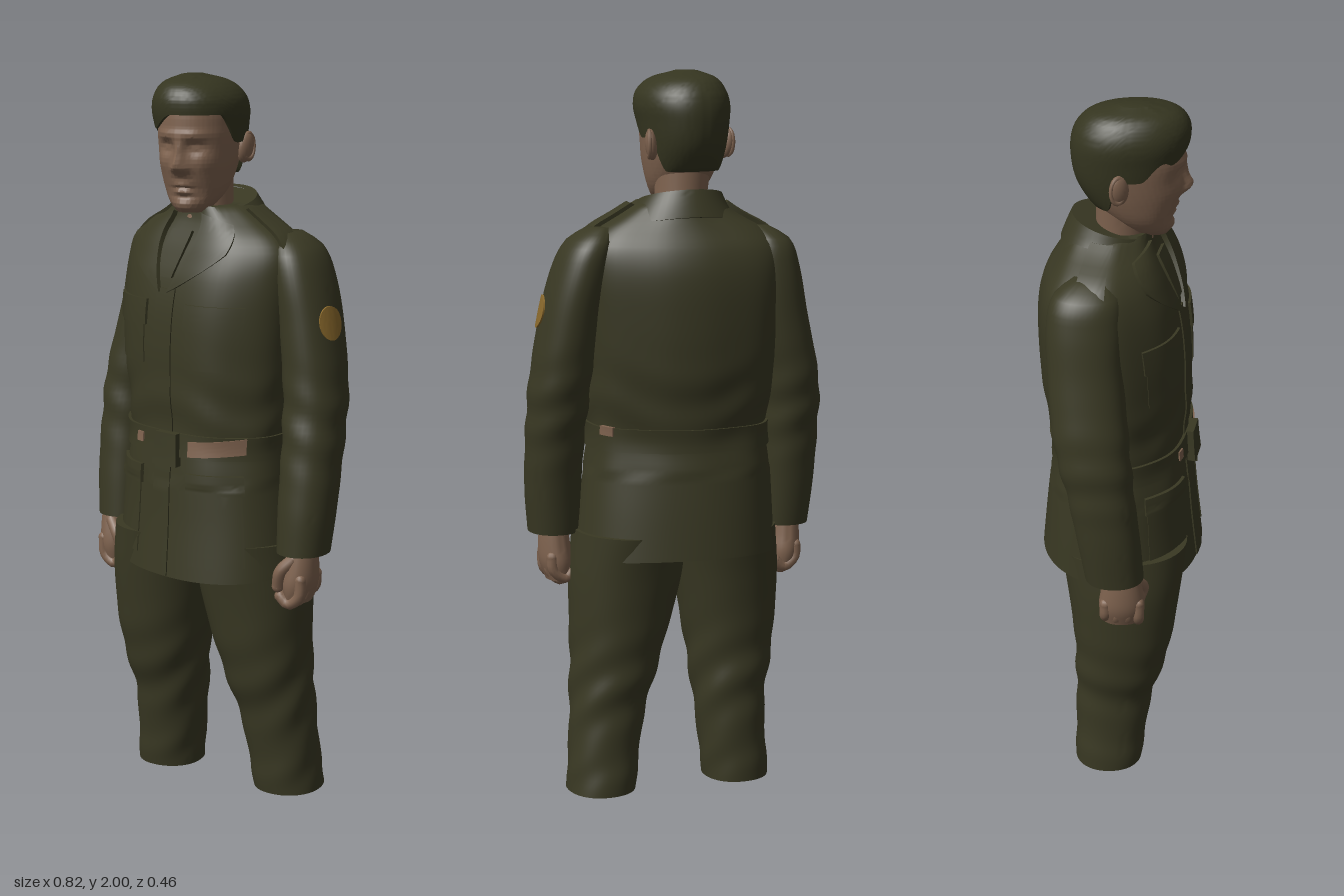
import * as THREE from 'three';
import { mergeVertices, toCreasedNormals } from 'three/addons/utils/BufferGeometryUtils.js';

const TAU = Math.PI * 2, rad = d => d * Math.PI / 180;
const mat = (name, color) => { const m = new THREE.MeshStandardMaterial({ color }); m.name = name; return m; };
const step = (a, b, x) => THREE.MathUtils.smoothstep(x, a, b);
const gauss = (d, s) => Math.exp(-(d * d) / (s * s));

// Smooth curve through section rows [y, cx, cz, rx, rz]
function sample(secs, y) {
  const last = secs.length - 1;
  let i = 0;
  while (i < last - 1 && y > secs[i + 1][0]) i++;
  const a = secs[i], b = secs[i + 1], h = b[0] - a[0];
  const t = THREE.MathUtils.clamp((y - a[0]) / h, 0, 1);
  const slope = (k, c) => {
    const p = secs[Math.max(k - 1, 0)], q = secs[Math.min(k + 1, last)];
    return (q[c] - p[c]) / (q[0] - p[0]);
  };
  return [1, 2, 3, 4].map(c => {
    const t2 = t * t, t3 = t2 * t;
    return (2 * t3 - 3 * t2 + 1) * a[c] + (t3 - 2 * t2 + t) * h * slope(i, c)
      + (3 * t2 - 2 * t3) * b[c] + (t3 - t2) * h * slope(i + 1, c);
  });
}

// Surface of rounded cross-sections: (angle, height, offset) -> point
function body(secs, { yaw = 0, n = 2, mod = null, fold = null } = {}) {
  const pw = (v, e) => Math.sign(v) * Math.abs(v) ** e;
  return (th, y, off = 0) => {
    const [cx, cz, rx, rz] = sample(secs, y);
    const o = off + (fold ? fold(th, y) : 0);
    const x = (rx + o) * pw(Math.cos(th), 2 / n), z = (rz + o) * pw(Math.sin(th), 2 / n);
    const p = new THREE.Vector3(cx + x * Math.cos(yaw) - z * Math.sin(yaw), y, cz + x * Math.sin(yaw) + z * Math.cos(yaw));
    if (mod) mod(p, off);
    return p;
  };
}

function grid(fn, nu, nv, crease = 0.9) {
  const pos = [], idx = [];
  for (let j = 0; j <= nv; j++) for (let i = 0; i <= nu; i++) pos.push(...fn(i / nu, j / nv, i, j).toArray());
  for (let j = 0; j < nv; j++) for (let i = 0; i < nu; i++) {
    const a = j * (nu + 1) + i, b = a + nu + 1;
    idx.push(a, b, a + 1, a + 1, b, b + 1);
  }
  const g = new THREE.BufferGeometry();
  g.setAttribute('position', new THREE.Float32BufferAttribute(pos, 3));
  g.setIndex(idx);
  return toCreasedNormals(mergeVertices(g, 1e-5), crease);
}

// Closed loft with capped ends
function loft(surf, y0, y1, nu = 48, nv = 40) {
  return grid((u, v, i, j) => {
    const y = y0 + (y1 - y0) * THREE.MathUtils.clamp((j - 1) / (nv - 2), 0, 1);
    if (j === 0 || j === nv) return surf(0, y).lerp(surf(Math.PI, y), 0.5);
    return surf(u * TAU, y);
  }, nu, nv);
}

// Raised plate on a surface; map(u, v) gives [angle, height]
function plate(surf, map, thick, nu = 14, nv = 10, ring = false) {
  return grid((u, v, i, j) => {
    const edge = j === 0 || j === nv || (!ring && (i === 0 || i === nu));
    const inner = (k, m) => THREE.MathUtils.clamp((k - 1) / (m - 2), 0, 1);
    const [th, y] = map(ring ? u : inner(i, nu), inner(j, nv));
    return surf(th, y, edge ? -0.006 : thick);
  }, nu, nv);
}
// Corners in degrees and height: lower a, lower b, upper b, upper a (a < b)
const quad = (a, b, c, d) => (u, v) => [0, 1].map(k => {
  const val = (a[k] * (1 - u) + b[k] * u) * (1 - v) + (d[k] * (1 - u) + c[k] * u) * v;
  return k ? val : rad(val);
});
const rect = (t0, t1, y0, y1) => quad([t0, y0], [t1, y0], [t1, y1], [t0, y1]);
const disc = (t, y, rt, ry) => (u, v) => {
  const a = u * 2 - 1, b = v * 2 - 1;
  return [rad(t + rt * a * Math.sqrt(1 - b * b / 2)), y + ry * b * Math.sqrt(1 - a * a / 2)];
};

export function createModel() {
  const model = new THREE.Group();
  model.name = 'standingFigure';
  const olive = mat('olive cloth', 0x393823), skin = mat('skin', 0x7f634f);
  const hairMat = mat('dark hair', 0x353520), gold = mat('gold badge', 0x8a692c);
  const add = (name, geo, m, parent = model) => {
    const mesh = new THREE.Mesh(geo, m); mesh.name = name; parent.add(mesh); return mesh;
  };

  // Jacket
  const torso = body([
    [0.66, -0.01, 0.003, 0.285, 0.22], [0.8, -0.015, 0, 0.272, 0.205], [0.92, -0.02, 0, 0.26, 0.193],
    [1.0, -0.02, 0, 0.25, 0.183], [1.08, -0.02, -0.005, 0.256, 0.188], [1.2, -0.024, -0.014, 0.27, 0.198],
    [1.35, -0.024, -0.022, 0.283, 0.198], [1.46, -0.02, -0.03, 0.288, 0.186], [1.53, -0.015, -0.034, 0.278, 0.163],
    [1.575, -0.012, -0.032, 0.24, 0.138], [1.615, -0.01, -0.03, 0.17, 0.118], [1.65, -0.015, -0.025, 0.115, 0.105]
  ], {
    yaw: 0.22, n: 2.25,
    fold: (th, y) => 0.003 * Math.sin(y * 42 + 2 * Math.sin(th * 3)) * gauss(y - 1.1, 0.1)
      + 0.003 * Math.sin(th * 7) * step(0.9, 0.7, y),
    mod: (p, off) => {
      p.y -= 0.1 * p.z * Math.max(0, (0.95 - p.y) / 0.3);
      p.y += Math.max(0, off) * 0.8 * step(1.48, 1.58, p.y);
    }
  });
  add('jacket', loft(torso, 0.66, 1.65, 72, 64), olive);
  add('frontOpening', plate(torso, rect(86, 96, 0.663, 1.43), 0.004, 8, 60), olive);
  const mirror = (s, a, b) => s > 0 ? [a, b] : [180 - b, 180 - a];
  for (const s of [1, -1]) {
    const box = (name, a, b, y0, y1, t) => add(name, plate(torso, rect(...mirror(s, a, b), y0, y1), t), olive);
    box('chestPocket', 40, 76, 1.22, 1.37, 0.003);
    box('chestPocketFlap', 38, 78, 1.325, 1.395, 0.007);
    box('hipPocket', 34, 72, 0.7, 0.9, 0.003);
    box('hipPocketFlap', 32, 74, 0.885, 0.935, 0.009);
    box('shoulderStrap', -13, 13, 1.54, 1.64, 0.009);
    // Lapel corners are mirrored about the front opening
    const c = [[90, 1.42], [58, 1.53], [48, 1.6], [76, 1.625]];
    const l = s > 0 ? [c[1], c[0], c[3], c[2]] : c.map(([t, y]) => [184 - t, y]);
    add('lapel', plate(torso, quad(...l), 0.011, 14, 14), olive);
  }
  // Collar, higher at the back than at the throat
  const collar = body([[1.56, -0.012, -0.028, 0.165, 0.128], [1.62, -0.015, -0.026, 0.125, 0.11], [1.67, -0.022, -0.024, 0.096, 0.093]], {
    yaw: 0.22, mod: p => { p.y -= 0.25 * (p.z + 0.025); }
  });
  add('collarStand', loft(collar, 1.58, 1.655, 48, 14), olive);
  add('collar', plate(collar, (u, v) => [rad(112 + 316 * u), 1.58 + 0.08 * v], 0.013, 48, 10), olive);
  add('tie', plate(torso, quad([89, 1.46], [95, 1.46], [99, 1.58], [85, 1.58]), 0.008), olive);
  add('throat', plate(collar, disc(86, 1.634, 15, 0.018), 0.006), skin);

  // Belt with buckle and worn sections
  add('belt', plate(torso, (u, v) => [u * TAU, 0.975 + 0.065 * v], 0.008, 72, 6, true), olive);
  add('buckle', plate(torso, quad([79, 0.95], [94, 0.95], [93, 1.04], [80, 1.04]), 0.026), olive);
  for (const c of [
    [[30, 0.994], [73, 0.98], [73, 1.022], [30, 1.038]], [[106, 0.997], [112, 0.997], [112, 1.024], [106, 1.024]],
    [[-44, 1.018], [-32, 1.02], [-32, 1.045], [-44, 1.043]]])
    add('beltBarePatch', plate(torso, quad(...c), 0.012), skin);

  // Trousers
  const creases = (th, y) => 0.004 * Math.sin(y * 44 + 3 * Math.sin(th) + 2 * th) * (gauss(y - 0.3, 0.13) + 0.5 * gauss(y - 0.06, 0.06));
  const leftLeg = body([[0, 0.22, -0.03, 0.096, 0.104], [0.2, 0.196, -0.01, 0.104, 0.108], [0.4, 0.16, 0.008, 0.13, 0.136],
    [0.6, 0.132, 0.012, 0.157, 0.158], [0.74, 0.12, 0.01, 0.155, 0.18]], { n: 2.15, fold: creases });
  const rightLeg = body([[0, -0.182, -0.042, 0.093, 0.096], [0.22, -0.17, -0.025, 0.1, 0.11], [0.4, -0.175, -0.002, 0.125, 0.135],
    [0.6, -0.166, 0.003, 0.146, 0.16], [0.74, -0.15, 0, 0.15, 0.18]], { n: 2.15, fold: creases });
  add('leftTrouserLeg', loft(leftLeg, 0, 0.74, 48, 50), olive);
  add('rightTrouserLeg', loft(rightLeg, 0, 0.74, 48, 50), olive);

  // Sleeves
  const sleeveFold = (th, y) => 0.003 * Math.sin(y * 55 + 2 * Math.cos(th)) * gauss(y - 1.08, 0.12);
  const leftSleeve = body([[0.73, 0.32, 0.08, 0.07, 0.08], [0.85, 0.324, 0.068, 0.077, 0.086], [1.0, 0.324, 0.043, 0.08, 0.092],
    [1.15, 0.318, 0.015, 0.083, 0.099], [1.35, 0.292, -0.003, 0.079, 0.106], [1.48, 0.262, -0.012, 0.074, 0.106],
    [1.55, 0.238, -0.018, 0.06, 0.088], [1.585, 0.215, -0.022, 0.03, 0.045]], { n: 2.15, fold: sleeveFold });
  const rightSleeve = body([[0.73, -0.33, -0.025, 0.07, 0.08], [0.85, -0.334, -0.04, 0.075, 0.085], [1.0, -0.333, -0.062, 0.077, 0.09],
    [1.15, -0.322, -0.085, 0.079, 0.1], [1.35, -0.278, -0.1, 0.078, 0.1], [1.48, -0.257, -0.1, 0.073, 0.1],
    [1.55, -0.242, -0.095, 0.061, 0.085], [1.585, -0.215, -0.085, 0.03, 0.042]], { n: 2.15, fold: sleeveFold });
  add('leftSleeve', loft(leftSleeve, 0.73, 1.585, 40, 50), olive);
  add('rightSleeve', loft(rightSleeve, 0.73, 1.585, 40, 50), olive);
  add('sleeveBadge', plate(leftSleeve, disc(16, 1.355, 23, 0.045), 0.005), gold);

  // Hands with loosely curled fingers
  for (const [s, x, z] of [[1, 0.312, 0.083], [-1, -0.338, -0.005]]) {
    const hand = new THREE.Group();
    hand.name = s > 0 ? 'leftHand' : 'rightHand';
    hand.position.set(x, 0, z);
    model.add(hand);
    const palm = body([[0.59, -s * 0.004, 0, 0.032, 0.052], [0.64, 0, 0, 0.046, 0.063], [0.69, s * 0.005, 0, 0.044, 0.058], [0.77, s * 0.008, -0.003, 0.036, 0.045]]);
    add('palm', loft(palm, 0.59, 0.77, 24, 18), skin, hand);
    const finger = (name, r, pts) => {
      const c = new THREE.CatmullRomCurve3(pts.map(p => new THREE.Vector3(p[0] * s, p[1], p[2])));
      add(name, new THREE.TubeGeometry(c, 10, r, 10), skin, hand);
      for (const t of [0, 1]) add(name + 'End', new THREE.SphereGeometry(r, 10, 8), skin, hand).position.copy(c.getPoint(t));
    };
    for (let i = 0; i < 4; i++) {
      const fz = 0.045 - i * 0.03, d = i === 3 ? 0.012 : 0;
      finger('finger', 0.0165, [[0.024, 0.66, fz], [0.02, 0.612 + d, fz], [-0.012, 0.588 + d, fz], [-0.037, 0.607 + d, fz]]);
    }
    finger('thumb', 0.017, [[0, 0.715, 0.04], [-0.03, 0.68, 0.058], [-0.042, 0.635, 0.05]]);
  }

  // Neck and head
  const neck = body([[1.54, -0.025, -0.01, 0.075, 0.075], [1.62, -0.03, 0, 0.07, 0.072], [1.76, -0.04, 0.01, 0.08, 0.08]]);
  add('neck', loft(neck, 1.54, 1.76, 32, 12), skin);
  const head = new THREE.Group();
  head.name = 'head';
  head.position.x = -0.043;
  head.rotation.y = 0.1;
  model.add(head);
  // Sculpted bumps: [x, y, depth, width, height], mirrored when x is not 0
  const bumps = [[0, 1.765, 0.027, 0.019, 0.022], [0, 1.8, 0.016, 0.014, 0.035], [0.017, 1.755, 0.011, 0.012, 0.012],
    [0.042, 1.812, -0.014, 0.023, 0.016], [0.042, 1.81, 0.007, 0.014, 0.008], [0.04, 1.845, 0.007, 0.035, 0.012],
    [0.06, 1.77, 0.007, 0.025, 0.025], [0, 1.713, 0.009, 0.026, 0.008], [0, 1.692, 0.008, 0.024, 0.008],
    [0, 1.703, -0.005, 0.03, 0.004], [0, 1.655, 0.007, 0.028, 0.018], [0, 1.678, -0.004, 0.03, 0.007]];
  const face = body([[1.635, 0, 0.085, 0.035, 0.035], [1.655, 0, 0.068, 0.06, 0.062], [1.69, 0, 0.048, 0.082, 0.085],
    [1.74, 0, 0.035, 0.096, 0.113], [1.8, 0, 0.025, 0.105, 0.13], [1.86, 0, 0.018, 0.108, 0.144],
    [1.93, 0, 0.015, 0.1, 0.135], [1.97, 0, 0.015, 0.06, 0.08]], {
    n: 2.15,
    mod: p => {
      if (p.z < 0.06) return;
      const { x, y } = p;
      for (const [bx, by, d, w, h] of bumps)
        for (const s of bx ? [1, -1] : [1]) p.z += d * gauss(x - s * bx, w) * gauss(y - by, h);
    }
  });
  add('face', loft(face, 1.635, 1.97, 128, 90), skin, head);
  for (const s of [1, -1]) {
    const ear = add('ear', new THREE.SphereGeometry(1, 20, 14), skin, head);
    ear.scale.set(0.017, 0.043, 0.027);
    ear.position.set(s * 0.112, 1.803, -0.022);
    ear.rotation.set(-0.15, s * -0.35, s * -0.15);
    const rim = add('earRim', new THREE.TorusGeometry(0.025, 0.006, 8, 20), skin, head);
    rim.scale.set(0.8, 1.35, 1);
    rim.position.set(s * 0.12, 1.805, -0.026);
    rim.rotation.y = s * (Math.PI / 2 - 0.35);
  }

  // Hair, domed, with a fringe swept to the right and a low nape
  const hair = body([[1.71, 0, 0.01, 0.094, 0.076], [1.75, 0, 0.01, 0.104, 0.108], [1.8, 0, 0.01, 0.112, 0.134], [1.86, 0, 0.015, 0.12, 0.15],
    [1.91, 0, 0.022, 0.125, 0.155], [1.95, -0.002, 0.028, 0.113, 0.144], [1.982, -0.01, 0.03, 0.08, 0.108], [2.0, -0.02, 0.03, 0.025, 0.04]], {
    n: 2.1,
    fold: (th, y) => step(1.99, 1.96, y) * (0.003 * Math.sin(th * 9 + y * 40) * step(0.1, 0.8, Math.sin(th))
      + 0.012 * gauss(th - rad(122), 0.65) * gauss(y - 1.92, 0.05))
  });
  const hairline = th => {
    const f = Math.sin(th);
    return 1.73 + 0.09 * step(-0.65, -0.12, f) + 0.08 * step(0.14, 0.6, f) - 0.045 * step(0.1, 0.8, -Math.cos(th)) * step(0.3, 0.7, f);
  };
  add('hair', grid((u, v, i, j) => {
    const th = u * TAU, y0 = hairline(th);
    if (j === 0) return hair(th, y0 + 0.004, -0.03);
    if (j === 40) return new THREE.Vector3(-0.02, 2, 0.03);
    return hair(th, y0 + (2 - y0) * Math.sin((j - 1) / 38 * Math.PI / 2));
  }, 96, 40, 1.2), hairMat, head);
  return model;
}
